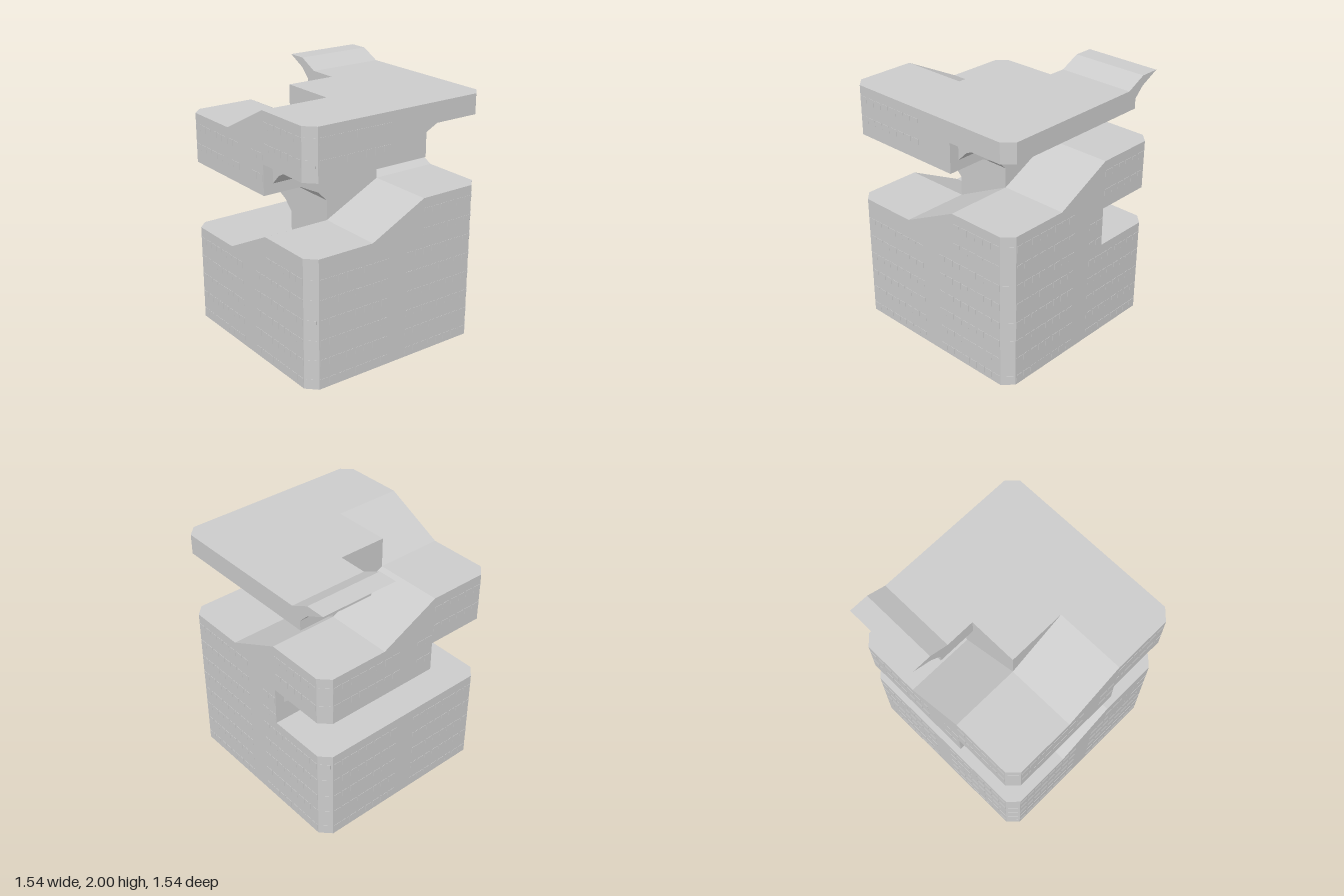
import * as THREE from 'three';
import { mergeGeometries } from 'three/addons/utils/BufferGeometryUtils.js';

// Spiral tower on a 26-unit-high grid. Each side is built in local coordinates:
// t runs along the side (uphill), s points outward, y is up.
// Sides: 0 front, 1 left (+x), 2 back, 3 right (-x); each is a quarter turn on.
const U = 1 / 13;
const material = new THREE.MeshStandardMaterial({ color: 0xcccccc, flatShading: true, side: THREE.DoubleSide });

const polygon = (pts) => new THREE.ShapeGeometry(new THREE.Shape(pts.map(([a, b]) => new THREE.Vector2(a, b))));

function flip(geo) {
  const index = geo.index.array;
  for (let i = 0; i < index.length; i += 3) [index[i], index[i + 1]] = [index[i + 1], index[i]];
  geo.computeVertexNormals();
  return geo;
}

// upright panel facing outward, points (t, y)
const wall = (pts, s = 10) => polygon(pts).translate(0, 0, s);
// upright panel across a side, points (s, y)
const endWall = (pts, t) => flip(polygon(pts).rotateY(-Math.PI / 2).translate(t, 0, 0));
// lying panel, points (t, s), height from a rule; faces down, or up when flipped
function lying(pts, height, up) {
  const geo = polygon(pts).rotateX(Math.PI / 2);
  const p = geo.attributes.position;
  for (let i = 0; i < p.count; i++) p.setY(i, height(p.getX(i), p.getZ(i)));
  geo.computeVertexNormals();
  return up ? flip(geo) : geo;
}
const rect = (a0, b0, a1, b1) => [[a0, b0], [a1, b0], [a1, b1], [a0, b1]];

// ramp climbing 3 units, then a level corner
const rampAndCorner = (level) => [
  lying(rect(-3, 3, 3, 10), (t) => level + (t + 3) / 2, true),
  lying([[3, 3], [10, 3], [10, 9], [9, 10], [3, 10]], () => level + 3, true),
];

// underside of an overhang, with a faceted cove against the core
function underside(b) {
  return [
    lying([[-10, 3], [-9, 3], [-9, 6], [3, 6], [3, 10], [-9, 10], [-10, 9]], () => b),
    lying(rect(-9, 4, 3, 6), (t, s) => b - (6 - s) / 2),
    lying(rect(-9, 3, 3, 4), (t, s) => b - 1 - (4 - s)),
    endWall([[3, b], [6, b], [4, b - 1], [3, b - 2]], -9),
  ];
}
// stepped end of an overhang
const overhangEnd = (b) => endWall([[10, b], [6, b], [4, b - 1], [3, b - 2], [3, b + 3], [10, b + 3]], 3);
// core face above a ramp
const coreWall = (y0, y1, top) => wall([[-3, y0], [3, y1], [3, top], [-3, top]], 3);
// bevelled corner at the uphill end of a side
const bevel = (y0, y1) => new THREE.PlaneGeometry(Math.SQRT2, y1 - y0)
  .rotateY(Math.PI / 4).translate(9.5, (y0 + y1) / 2, 9.5);

const pane = (w) => new THREE.BoxGeometry(w, 0.67, 0.06);
const upTo = (last) => Array.from({ length: last / 2 + 1 }, (_, i) => i * 2);
// one pane per unit, leaving the middle of the side blank
function windows(t0, t1, rows) {
  const out = [];
  for (const y of rows)
    for (let t = t0 + 0.5; t < t1; t++)
      if (Math.abs(t) > 1) out.push(pane(0.8).translate(t, y + 0.67, 10));
  return out;
}
const bevelWindows = (rows) => rows.map((y) => pane(1).rotateY(Math.PI / 4).translate(9.5, y + 0.67, 9.5));

export function createModel() {
  const model = new THREE.Group();
  model.name = 'spiralTower';
  const names = ['front', 'left', 'back', 'right'];

  function add(side, part, geos) {
    const mesh = new THREE.Mesh(mergeGeometries(geos), material);
    mesh.name = names[side] + part;
    mesh.rotation.y = side * Math.PI / 2;
    model.add(mesh);
  }

  // outer walls, open at the bottom
  add(0, 'Walls', [
    wall([[-9, 0], [9, 0], [9, 16], [3, 16], [-3, 13], [-9, 13]]),
    wall([[-9, 20], [3, 20], [3, 23], [9, 23], [9, 25], [-9, 25]]),
    bevel(0, 16), bevel(23, 25),
  ]);
  add(1, 'Walls', [
    wall([[-9, 0], [9, 0], [9, 10], [3, 10], [3, 14], [9, 14], [9, 19], [3, 19], [-3, 16], [-9, 16]]),
    wall(rect(-9, 23, 3, 25)),
    bevel(0, 10), bevel(14, 19),
    endWall(rect(3, 10, 10, 14), 3),
  ]);
  add(2, 'Walls', [
    wall(rect(-9, 0, 9, 10)),
    wall([[-9, 14], [3, 14], [3, 17], [9, 17], [9, 22], [3, 22], [-3, 19], [-9, 19]]),
    bevel(0, 10), bevel(17, 22),
  ]);
  add(3, 'Walls', [
    wall([[-9, 0], [9, 0], [9, 13], [3, 13], [-3, 10], [-9, 10]]),
    wall([[-9, 17], [3, 17], [3, 20], [9, 20], [9, 25], [3, 25], [-3, 22], [-9, 22]]),
    bevel(0, 13), bevel(20, 25),
  ]);

  // spiral way: a level start at the back, then five climbing ramps
  add(2, 'LowerTerrace', [
    lying([[-10, 3], [10, 3], [10, 9], [9, 10], [-9, 10], [-10, 9]], () => 10, true),
  ]);
  [3, 0, 1, 2].forEach((side, i) => add(side, 'Ramp', rampAndCorner(10 + 3 * i)));
  add(3, 'UpperRamp', [lying(rect(-3, 3, 3, 10), (t) => 22 + (t + 3) / 2, true)]);

  // overhang undersides, rising by 3 from side to side
  [2, 3, 0].forEach((side, i) => add(side, 'Overhang', [...underside(14 + 3 * i), overhangEnd(14 + 3 * i)]));
  add(1, 'RoofUnderside', underside(23));

  // central core
  add(0, 'Core', [coreWall(13, 16, 20)]);
  add(1, 'Core', [coreWall(16, 19, 23)]);
  add(2, 'Core', [coreWall(10, 10, 14), coreWall(19, 22, 25)]);
  add(3, 'Core', [coreWall(10, 13, 17), coreWall(22, 25, 25)]);

  // flat roof over the front, the core and the left side
  add(0, 'Roof', [
    lying([[-10, 3], [-3, 3], [-3, -3], [10, -3], [10, 9], [9, 10], [-9, 10], [-10, 9]], () => 25, true),
  ]);

  // upturned lip at the end of the roof
  const lip = new THREE.Shape([[3, 23], [7, 23], [7, 24], [8, 25], [10, 26], [8, 26], [6, 25], [3, 25]]
    .map(([a, b]) => new THREE.Vector2(a, b)));
  add(1, 'RoofLip', [new THREE.ExtrudeGeometry(lip, { depth: 8, bevelEnabled: false }).translate(0, 0, 2)]);

  // window rows
  add(0, 'Windows', [
    ...windows(-9, 3, upTo(10)), ...windows(3, 9, upTo(14)), ...bevelWindows(upTo(14)),
    ...windows(-9, -1, [21, 23]),
  ]);
  add(1, 'Windows', [
    ...windows(-9, -1, upTo(14)), ...windows(1, 3, upTo(12)), ...windows(3, 9, [...upTo(8), 15, 17]),
    ...bevelWindows([...upTo(8), 15, 17]),
  ]);
  add(2, 'Windows', [
    ...windows(-9, 9, upTo(8)), ...windows(-9, 3, [15, 17]), ...windows(3, 9, [18, 20]),
    ...bevelWindows([...upTo(8), 18, 20]),
  ]);
  add(3, 'Windows', [
    ...windows(-9, 3, [...upTo(8), 18, 20]), ...windows(3, 9, [...upTo(10), 21, 23]),
    ...bevelWindows([...upTo(10), 21, 23]),
  ]);

  model.scale.setScalar(U);
  return model;
}
